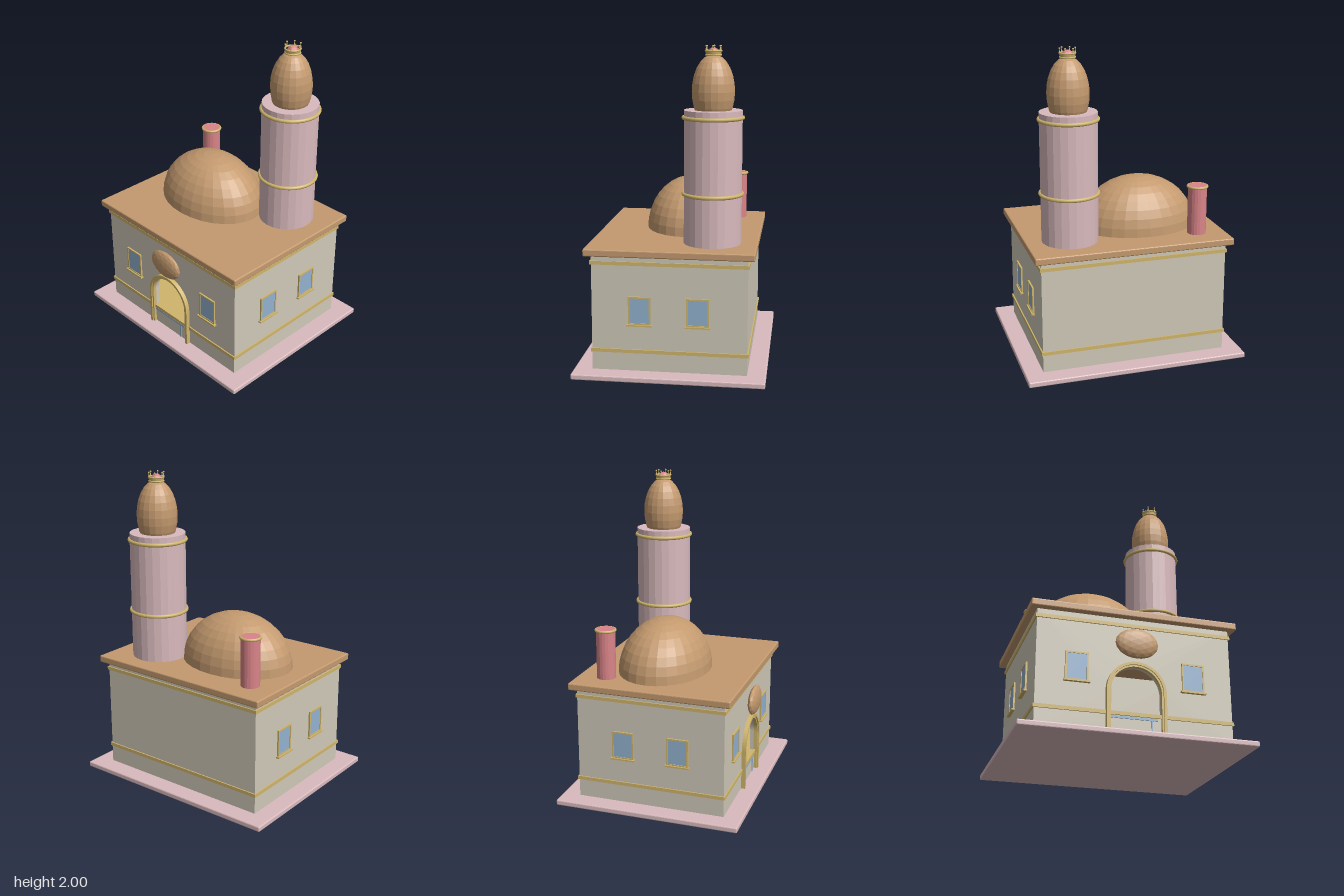
import * as THREE from 'three';
import { RoundedBoxGeometry } from 'three/addons/geometries/RoundedBoxGeometry.js';

const material = (name, color, flat = false) => {
  const m = new THREE.MeshStandardMaterial({ color });
  m.name = name;
  m.flatShading = flat;
  return m;
};

export function createModel() {
  const root = new THREE.Group();
  root.name = 'domedBuilding';
  const cream = material('cream plaster', 0xd0c9b9);
  const brown = material('baked brown', 0xc49a6f, true);
  const pink = material('pale pink stone', 0xd9babd, true);
  const rose = material('rose', 0xd98488, true);
  const gold = material('gold trim', 0xd0b56c);
  const blue = material('window blue', 0x93b2d0);

  const add = (name, geometry, mat, x = 0, y = 0, z = 0, parent = root) => {
    const mesh = new THREE.Mesh(geometry, mat);
    mesh.name = name;
    mesh.position.set(x, y, z);
    parent.add(mesh);
    return mesh;
  };
  const box = (name, w, h, d, mat, x, y, z, parent) =>
    add(name, new THREE.BoxGeometry(w, h, d), mat, x, y, z, parent);
  const ring = (name, radius, tube, x, y, z) => {
    const mesh = add(name, new THREE.TorusGeometry(radius, tube, 8, 32), gold, x, y, z);
    mesh.rotation.x = Math.PI / 2;
    return mesh;
  };

  // Plinth and roof slab
  add('plinth', new RoundedBoxGeometry(1.42, 0.035, 1.18, 2, 0.008), pink, 0, 0.0175, 0);
  add('roofSlab', new RoundedBoxGeometry(1.275, 0.045, 1.035, 2, 0.008), brown, 0, 0.777, 0);

  // Hollow walls, the front one with an arched opening
  const W = 0.595, D = 0.475, T = 0.03, spring = 0.295;
  const front = new THREE.Shape();
  front.moveTo(-W, 0.03);
  front.lineTo(W, 0.03);
  front.lineTo(W, 0.76);
  front.lineTo(-W, 0.76);
  front.closePath();
  const opening = new THREE.Path();
  opening.moveTo(-0.155, 0.165);
  opening.lineTo(-0.155, spring);
  opening.absarc(0, spring, 0.155, Math.PI, 0, true);
  opening.lineTo(0.155, 0.165);
  opening.closePath();
  front.holes.push(opening);
  add('frontWall', new THREE.ExtrudeGeometry(front, { depth: T, bevelEnabled: false, curveSegments: 20 }), cream, 0, 0, D - T);
  box('backWall', 2 * W, 0.73, T, cream, 0, 0.395, -D + T / 2);
  for (const s of [-1, 1]) box('sideWall', T, 0.73, 2 * D - 0.002, cream, s * (W - T / 2), 0.395, 0);
  box('innerFloor', 2 * W - 0.02, 0.02, 2 * D - 0.02, gold, 0, 0.157, 0);

  // Trim bands on all four sides
  for (const y of [0.16, 0.71]) {
    for (const s of [-1, 1]) {
      box('trimBand', 2 * W + 0.016, 0.022, 0.016, gold, 0, y, s * D);
      box('trimBand', 0.016, 0.022, 2 * D + 0.016, gold, s * W, y, 0);
    }
  }

  // Door surround: two stepped arches
  const arch = (name, outer, inner, depth) => {
    const s = new THREE.Shape();
    s.moveTo(-outer, 0.035);
    s.lineTo(-outer, spring);
    s.absarc(0, spring, outer, Math.PI, 0, true);
    s.lineTo(outer, 0.035);
    s.lineTo(inner, 0.035);
    s.lineTo(inner, spring);
    s.absarc(0, spring, inner, 0, Math.PI, false);
    s.lineTo(-inner, 0.035);
    s.closePath();
    add(name, new THREE.ExtrudeGeometry(s, { depth, bevelEnabled: false, curveSegments: 20 }), gold, 0, 0, D - 0.005);
  };
  arch('outerDoorArch', 0.181, 0.164, 0.032);
  arch('innerDoorArch', 0.167, 0.153, 0.024);

  // Counter detail below the opening and loaves inside
  box('counterEdge', 0.28, 0.014, 0.008, blue, -0.01, 0.138, D + 0.002);
  box('counterLeg', 0.009, 0.095, 0.008, blue, 0.095, 0.084, D + 0.002);
  for (let i = 0; i < 4; i++) {
    const loaf = add('loaf', new THREE.IcosahedronGeometry(0.02, 1), brown, -0.13 + i * 0.06, 0.175, 0);
    loaf.scale.y = 0.5;
  }

  // Windows: glass, frame and sill, facing +z before turning
  const addWindow = (x, z, turn) => {
    const g = new THREE.Group();
    g.name = 'window';
    g.position.set(x, 0.418, z);
    g.rotation.y = turn;
    box('glass', 0.125, 0.165, 0.014, blue, 0, 0, 0, g);
    for (const s of [-1, 1]) {
      box('frameSide', 0.01, 0.175, 0.022, gold, s * 0.064, 0, 0, g);
      box('frameRail', 0.138, 0.01, 0.022, gold, 0, s * 0.083, 0, g);
    }
    box('sill', 0.156, 0.01, 0.034, gold, 0, -0.091, 0.003, g);
    root.add(g);
  };
  for (const s of [-1, 1]) {
    addWindow(s * 0.355, D, 0);
    for (const z of [0.18, -0.175]) addWindow(s * W, z, s * Math.PI / 2);
  }

  // Loaf-shaped plaque above the door
  const plaque = add('doorPlaque', new THREE.IcosahedronGeometry(1, 2), brown, 0, 0.588, 0.508);
  plaque.scale.set(0.132, 0.094, 0.033);

  // Main dome
  const dome = add('mainDome', new THREE.SphereGeometry(1, 28, 9, 0, Math.PI * 2, 0, Math.PI / 2), brown, -0.143, 0.798, -0.05);
  dome.scale.set(0.383, 0.332, 0.29);

  // Chimney
  add('chimney', new THREE.CylinderGeometry(0.06, 0.06, 0.32, 20), rose, -0.452, 0.955, -0.335);
  ring('chimneyRing', 0.06, 0.009, -0.452, 1.107, -0.335);

  // Tower with rings and egg-shaped cap
  const tx = 0.355, tz = -0.237;
  add('tower', new THREE.CylinderGeometry(0.178, 0.178, 0.825, 24), pink, tx, 1.2025, tz);
  for (const y of [1.107, 1.57]) ring('towerRing', 0.18, 0.012, tx, y, tz);
  const cap = add('towerCap', new THREE.SphereGeometry(1, 20, 14), brown, tx, 1.725, tz);
  cap.scale.set(0.13, 0.222, 0.13);

  // Small crown with a rose centre
  const band = add('crownBand', new THREE.CylinderGeometry(0.05, 0.045, 0.026, 20, 1, true), gold, tx, 1.952, tz);
  band.material = gold;
  ring('crownRim', 0.047, 0.006, tx, 1.965, tz);
  ring('crownBase', 0.045, 0.006, tx, 1.941, tz);
  add('crownCushion', new THREE.SphereGeometry(0.036, 12, 8), rose, tx, 1.95, tz);
  for (let i = 0; i < 6; i++) {
    const a = (i * Math.PI) / 3;
    const x = tx + Math.cos(a) * 0.048, z = tz + Math.sin(a) * 0.048;
    add('crownSpike', new THREE.ConeGeometry(0.006, 0.03, 6), gold, x, 1.98, z);
    add('crownBead', new THREE.SphereGeometry(0.006, 8, 6), gold, x, 1.994, z);
  }
  return root;
}
